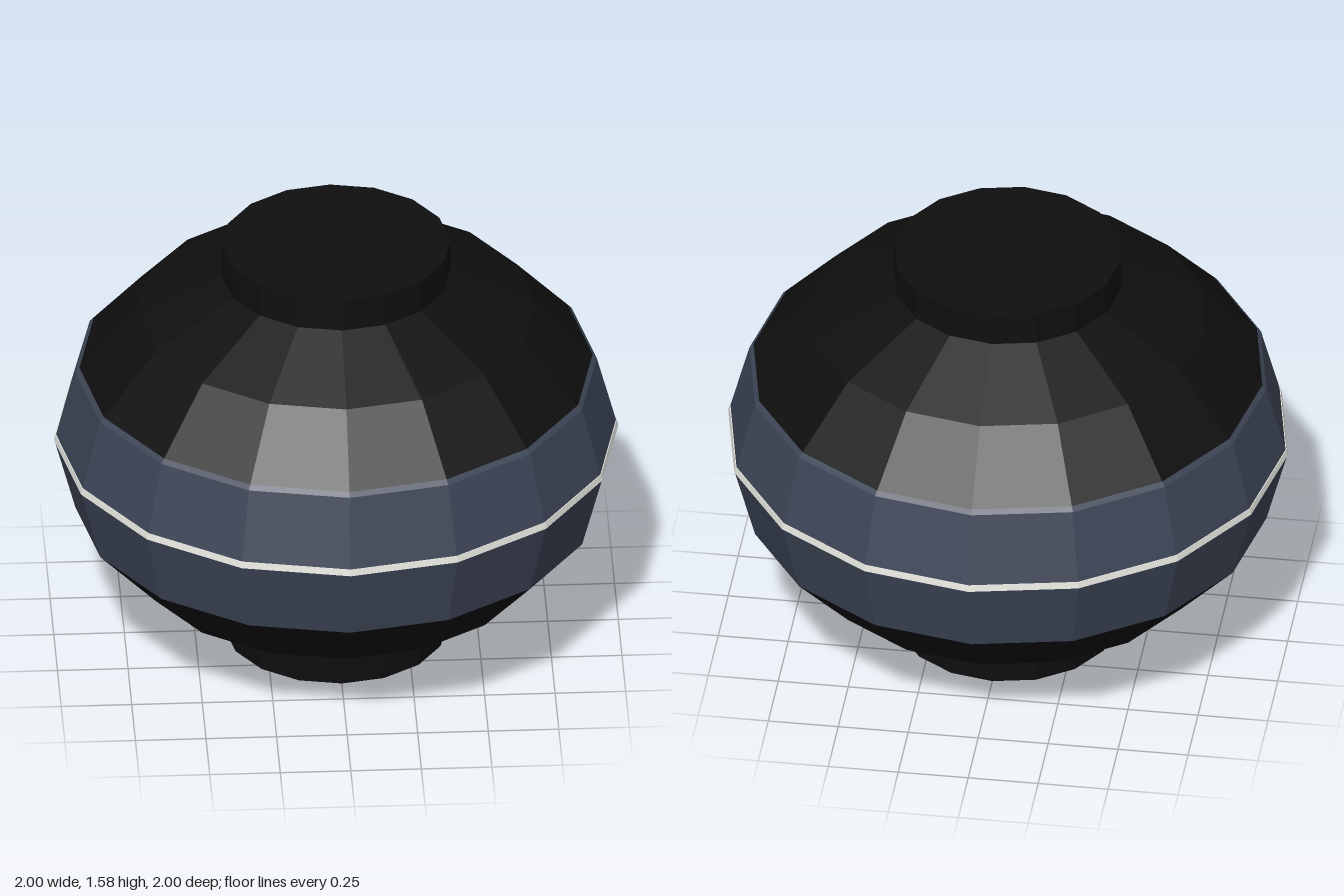
import * as THREE from 'three';

const SIDES = 16;
const MID = 0.8;      // height of the widest ring
const SQUASH = 0.725; // vertical flattening of the body

const mat = (name, color) => {
  const m = new THREE.MeshStandardMaterial({ color });
  m.name = name;
  return m;
};

// Faceted ring or solid turned from [radius, height] points, listed bottom to top
function turned(name, points, material) {
  const lathe = new THREE.LatheGeometry(points.map(([r, y]) => new THREE.Vector2(r, y)), SIDES);
  const geometry = lathe.toNonIndexed();
  geometry.computeVertexNormals();
  const mesh = new THREE.Mesh(geometry, material);
  mesh.name = name;
  return mesh;
}

// Point on the flattened sphere, k rings above the middle
const ring = (k) => {
  const a = (k * Math.PI) / 8;
  return [Math.cos(a), MID + SQUASH * Math.sin(a)];
};

export function createModel() {
  const black = mat('black', 0x0f0f0f);
  const slate = mat('slate blue', 0x3d4556);
  const white = mat('off white', 0xe4e4de);
  const bandTop = [0.909, 1.093];

  const group = new THREE.Group();
  group.name = 'lantern';
  group.add(
    // Black shell halves above and below the coloured band
    turned('lowerShell', [[0.36, 0.13], ring(-3), ring(-2), ring(-1)], black),
    turned('upperShell', [bandTop, ring(2), ring(3), [0.36, 1.475]], black),
    // Wide band round the middle, with a narrow lip folding onto the upper shell
    turned('band', [ring(-1), [0.998, MID], ring(1), bandTop], slate),
    // Thin light stripe just above the widest ring
    turned('stripe', [[0.985, MID], [1, MID], [0.995, MID + 0.023], [0.98, MID + 0.023]], white),
    // Closed foot and neck
    turned('foot', [[0, 0], [0.393, 0], [0.407, 0.155], [0.3, 0.155]], black),
    turned('neck', [[0.405, 1.43], [0.405, 1.58], [0, 1.58]], black),
  );
  return group;
}
